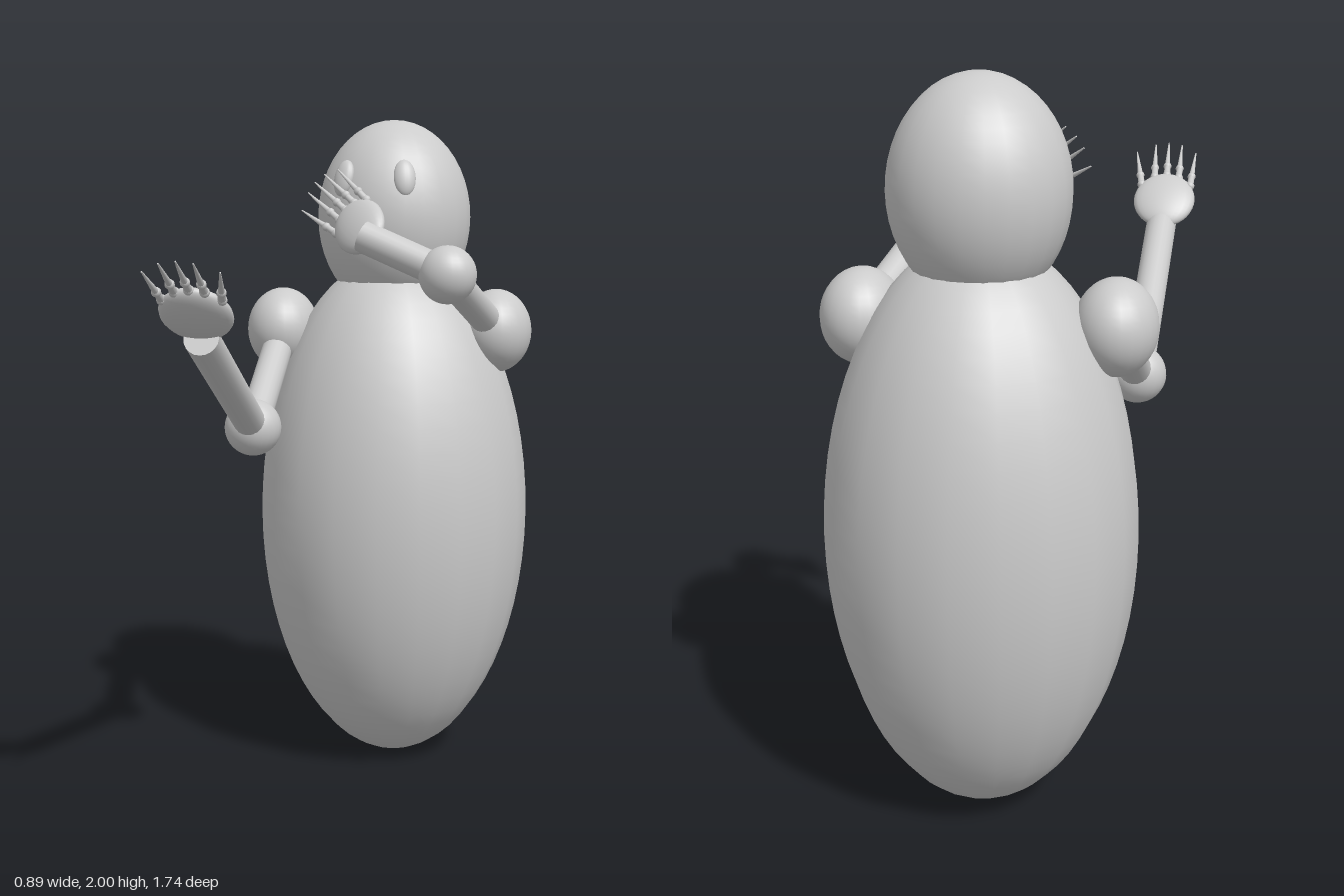
import * as THREE from 'three';

const V = (x, y, z) => new THREE.Vector3(x, y, z);
const material = new THREE.MeshStandardMaterial({ color: 0xcccccc });

function addMesh(parent, name, geometry) {
  const mesh = new THREE.Mesh(geometry, material);
  mesh.name = name;
  parent.add(mesh);
  return mesh;
}

// Sphere stretched to three radii
function ellipsoid(parent, name, center, radii, segments = 24, rings = 20) {
  const mesh = addMesh(parent, name, new THREE.SphereGeometry(1, segments, rings));
  mesh.position.copy(center);
  mesh.scale.copy(radii);
  return mesh;
}

// Round bar between two points, optionally tapered
function bar(parent, name, from, to, r0, r1 = r0, sides = 20) {
  const dir = to.clone().sub(from);
  const mesh = addMesh(parent, name, new THREE.CylinderGeometry(r1, r0, dir.length(), sides));
  mesh.position.copy(from).addScaledVector(dir, 0.5);
  mesh.quaternion.setFromUnitVectors(V(0, 1, 0), dir.normalize());
  return mesh;
}

// Hand: local y runs to the fingertips, x across the palm, z out of the palm.
// side = 1 puts the splayed thumb at +x, -1 at -x.
function makeHand(name, { center, along, across, side, width, curl, reach }) {
  const hand = new THREE.Group();
  hand.name = name;
  const y = along.clone().normalize();
  const z = across.clone().cross(y).normalize();
  const x = y.clone().cross(z);
  hand.quaternion.setFromRotationMatrix(new THREE.Matrix4().makeBasis(x, y, z));
  hand.position.copy(center);
  ellipsoid(hand, 'palm', V(0, 0, 0), V(width, 0.1, 0.033));

  const splay = [-0.02, 0.03, 0.06, 0.08, 0.2];
  splay.forEach((s, i) => {
    const t = (i - 2) * 0.4;
    const base = V(side * t * width, 0.097 * Math.sqrt(1 - t * t), 0);
    const dir = V(side * s, 1, curl).normalize();
    const knuckle = base.clone().addScaledVector(dir, 0.05 * reach);
    const tip = base.clone().addScaledVector(dir, 0.178 * reach);
    const finger = new THREE.Group();
    finger.name = 'finger' + (i + 1);
    hand.add(finger);
    ellipsoid(finger, 'baseJoint', base, V(0.014, 0.014, 0.014), 10, 8);
    bar(finger, 'innerSegment', base, knuckle, 0.011, 0.009, 10);
    ellipsoid(finger, 'knuckle', knuckle, V(0.013, 0.013, 0.013), 10, 8);
    bar(finger, 'fingertip', knuckle, tip, 0.009, 0.002, 10);
  });
  return hand;
}

// Arm: shoulder ball, upper arm, elbow ball, forearm and hand
function makeArm(name, shoulder, elbow, wrist, handOptions) {
  const arm = new THREE.Group();
  arm.name = name;
  ellipsoid(arm, 'shoulder', shoulder, V(0.11, 0.128, 0.132));
  bar(arm, 'upperArm', shoulder, elbow, 0.046);
  ellipsoid(arm, 'elbow', elbow, V(0.083, 0.083, 0.077));
  bar(arm, 'forearm', elbow, wrist, 0.046);
  arm.add(makeHand('hand', handOptions));
  return arm;
}

export function createModel() {
  const model = new THREE.Group();
  model.name = 'figure';

  // Egg-shaped body and head
  ellipsoid(model, 'body', V(0.013, 0.793, -0.45), V(0.42, 0.793, 0.42), 20, 32);
  ellipsoid(model, 'head', V(0.013, 1.705, -0.45), V(0.236, 0.295, 0.236), 24, 24);

  // Eyes turned to follow the face
  const eyes = [['rightEye', -0.117, -0.275, -0.6], ['leftEye', 0.068, -0.25, 0.25]];
  for (const [name, x, z, yaw] of eyes) {
    const eye = ellipsoid(model, name, V(x, 1.822, z), V(0.034, 0.056, 0.022), 20, 16);
    eye.rotation.set(-0.3, yaw, 0, 'YXZ');
  }

  // Right arm reaches forward
  model.add(makeArm('rightArm',
    V(-0.333, 1.36, -0.42), V(-0.345, 1.105, 0.0), V(-0.347, 1.415, 0.6), {
      center: V(-0.35, 1.478, 0.635), along: V(0, 0.66, 0.75), across: V(1, 0, 0),
      side: 1, width: 0.095, curl: 0.29, reach: 1,
    }));

  // Left arm folds back with its hand at the face
  model.add(makeArm('leftArm',
    V(0.333, 1.36, -0.425), V(0.22, 1.55, 0.0), V(-0.03, 1.655, -0.055), {
      center: V(-0.045, 1.682, -0.1), along: V(-0.53, 0.48, -0.7), across: V(0.66, 0.72, -0.01),
      side: -1, width: 0.082, curl: 0.35, reach: 0.8,
    }));

  return model;
}
